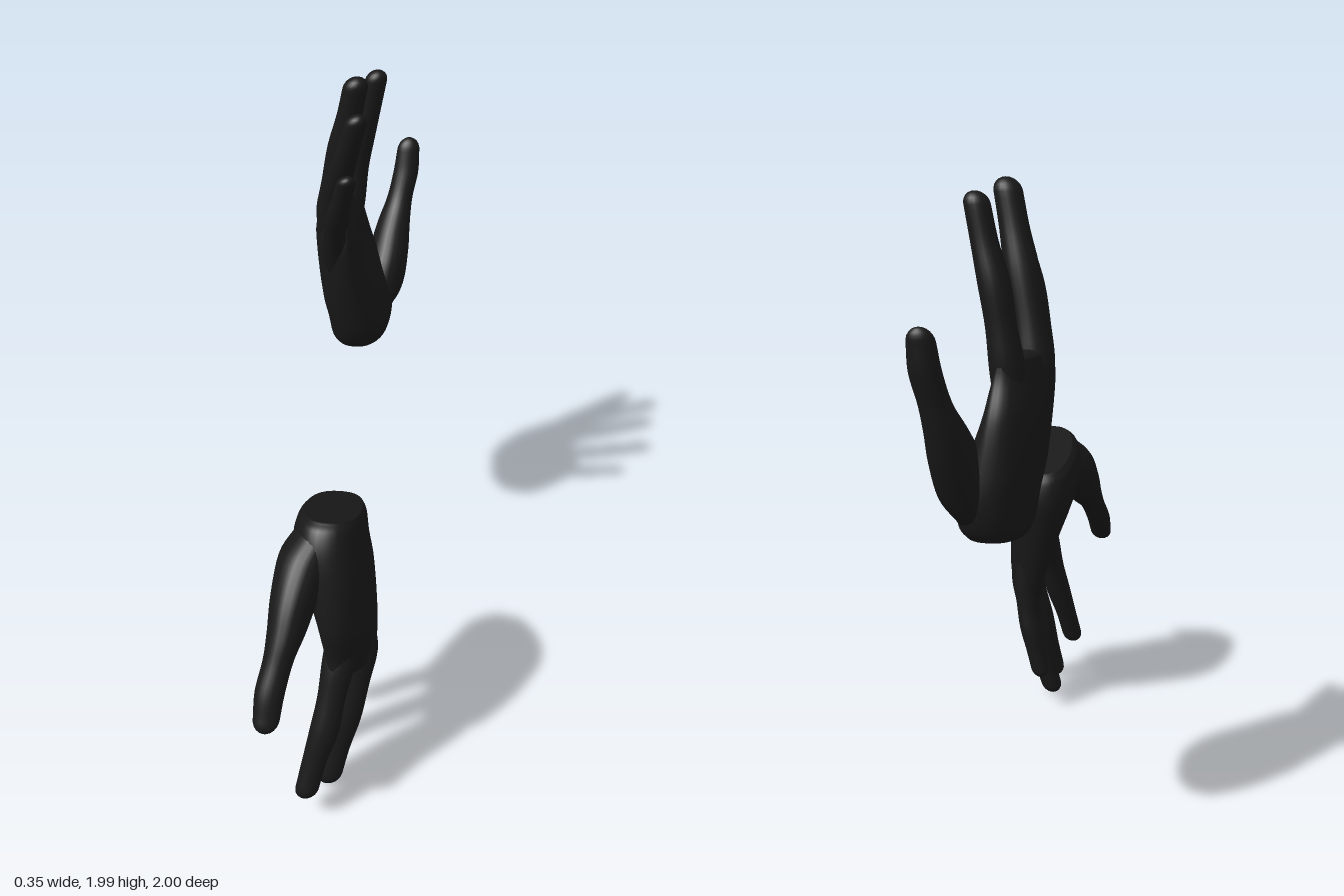
import * as THREE from 'three';

const V = (x, y, z) => new THREE.Vector3(x, y, z);
const spow = (v, e) => Math.sign(v) * Math.abs(v) ** e;

// Smooth loft through horizontal oval sections [y, x, z, halfX, halfZ, arch],
// closed by a dome at each end. power < 1 makes the ovals boxier.
function loft(sections, { steps = 28, sides = 24, topDome = 0.03, bottomDome = 0, power = 1 } = {}) {
  const path = new THREE.CatmullRomCurve3(sections.map(s => V(s[1], s[0], s[2])), false, 'catmullrom', 0.5);
  const size = new THREE.CatmullRomCurve3(sections.map(s => V(s[3], s[4], s[5] || 0)), false, 'catmullrom', 0.5);
  const rings = [];
  const dome = 6;
  const addCap = (t, height, down) => {
    const c = path.getPoint(t), r = size.getPoint(t);
    const dir = path.getTangent(t);
    dir.divideScalar(Math.abs(dir.y)).multiplyScalar(down ? -height : height);
    for (let k = 1; k <= dome; k++) {
      const a = (down ? dome + 1 - k : k) / dome * Math.PI / 2;
      const f = Math.max(Math.cos(a), 0.001);
      rings.push([c.clone().addScaledVector(dir, Math.sin(a)), V(r.x * f, r.y * f, r.z * f * f)]);
    }
  };
  addCap(0, bottomDome, true);
  for (let j = 0; j <= steps; j++) rings.push([path.getPoint(j / steps), size.getPoint(j / steps)]);
  addCap(1, topDome, false);

  const pos = [], index = [];
  rings.forEach(([c, r], j) => {
    for (let i = 0; i < sides; i++) {
      const a = i / sides * Math.PI * 2;
      const u = spow(Math.cos(a), power), w = spow(Math.sin(a), power);
      pos.push(c.x + r.x * u + r.z * w * w, c.y, c.z + r.y * w);
      if (j === rings.length - 1) continue;
      const p = j * sides + i, q = j * sides + (i + 1) % sides;
      index.push(p, p + sides, q, q, p + sides, q + sides);
    }
  });
  const geo = new THREE.BufferGeometry();
  geo.setAttribute('position', new THREE.Float32BufferAttribute(pos, 3));
  geo.setIndex(index);
  return geo;
}

// Cupped palm with a flat wrist end
const palm = () => loft([
  [1.0, -0.02, -0.66, 0.09, 0.17],
  [1.03, -0.015, -0.655, 0.106, 0.2],
  [1.1, -0.015, -0.645, 0.115, 0.225],
  [1.2, -0.04, -0.632, 0.11, 0.235, 0.01],
  [1.35, -0.08, -0.61, 0.085, 0.235, 0.035],
  [1.45, -0.1, -0.588, 0.068, 0.216, 0.05],
  [1.5, -0.108, -0.592, 0.05, 0.2, 0.055],
], { steps: 40, sides: 40, topDome: 0.03, power: 0.85 });

// Thumb with the fleshy mound at its root
const thumb = () => loft([
  [1.04, 0.005, -0.735, 0.075, 0.11],
  [1.12, 0.045, -0.77, 0.085, 0.12],
  [1.23, 0.07, -0.82, 0.075, 0.118],
  [1.33, 0.085, -0.88, 0.06, 0.085],
  [1.41, 0.102, -0.925, 0.047, 0.054],
  [1.5, 0.12, -0.956, 0.046, 0.041],
  [1.58, 0.126, -0.972, 0.041, 0.03],
], { topDome: 0.045, bottomDome: 0.02 });

// Finger from points [y, x, z]; swells slightly at the joints
function finger(points, radius) {
  const swell = [1, 1.15, 1, 1.04, 0.88, 0.84];
  return loft(points.map(([y, x, z], i) => [y, x, z, radius * swell[i] * 1.05, radius * swell[i]]),
    { topDome: radius * 0.85, bottomDome: 0.02, sides: 20 });
}

const PARTS = {
  palm,
  thumb,
  indexFinger: () => finger([
    [1.36, -0.07, -0.735], [1.48, -0.062, -0.745], [1.6, -0.045, -0.749],
    [1.72, -0.025, -0.745], [1.83, 0.003, -0.735], [1.93, 0.024, -0.728]], 0.043),
  middleFinger: () => finger([
    [1.36, -0.105, -0.635], [1.47, -0.118, -0.628], [1.6, -0.103, -0.613],
    [1.74, -0.076, -0.59], [1.86, -0.05, -0.57], [1.96, -0.03, -0.556]], 0.048),
  ringFinger: () => finger([
    [1.36, -0.09, -0.53], [1.46, -0.105, -0.502], [1.58, -0.095, -0.475],
    [1.69, -0.07, -0.442], [1.8, -0.038, -0.41], [1.9, -0.01, -0.386]], 0.043),
  littleFinger: () => finger([
    [1.32, -0.07, -0.44], [1.42, -0.083, -0.412], [1.51, -0.079, -0.373],
    [1.59, -0.064, -0.338], [1.67, -0.046, -0.306], [1.735, -0.03, -0.281]], 0.037),
};

function makeHand(name, material, matrix) {
  const hand = new THREE.Group();
  hand.name = name;
  for (const [part, build] of Object.entries(PARTS)) {
    const geo = build();
    if (matrix) {
      geo.applyMatrix4(matrix);
      // mirrored geometry needs its corner order reversed
      if (matrix.determinant() < 0) geo.setIndex(Array.from(geo.index.array).reverse());
    }
    geo.computeVertexNormals();
    const mesh = new THREE.Mesh(geo, material);
    mesh.name = part;
    hand.add(mesh);
  }
  return hand;
}

export function createModel() {
  const group = new THREE.Group();
  group.name = 'pairOfHands';
  const material = new THREE.MeshStandardMaterial({ color: 0x181818 });
  // Second hand: mirrored through the wrist, turned 20 degrees, fingers down
  const mirror = new THREE.Matrix4().makeTranslation(0, 0.99, 0.475)
    .multiply(new THREE.Matrix4().makeRotationX(THREE.MathUtils.degToRad(-20)))
    .multiply(new THREE.Matrix4().makeScale(-1, -1, -1))
    .multiply(new THREE.Matrix4().makeTranslation(0, -1, 0.67));
  group.add(makeHand('raisedHand', material));
  group.add(makeHand('loweredHand', material, mirror));
  return group;
}
